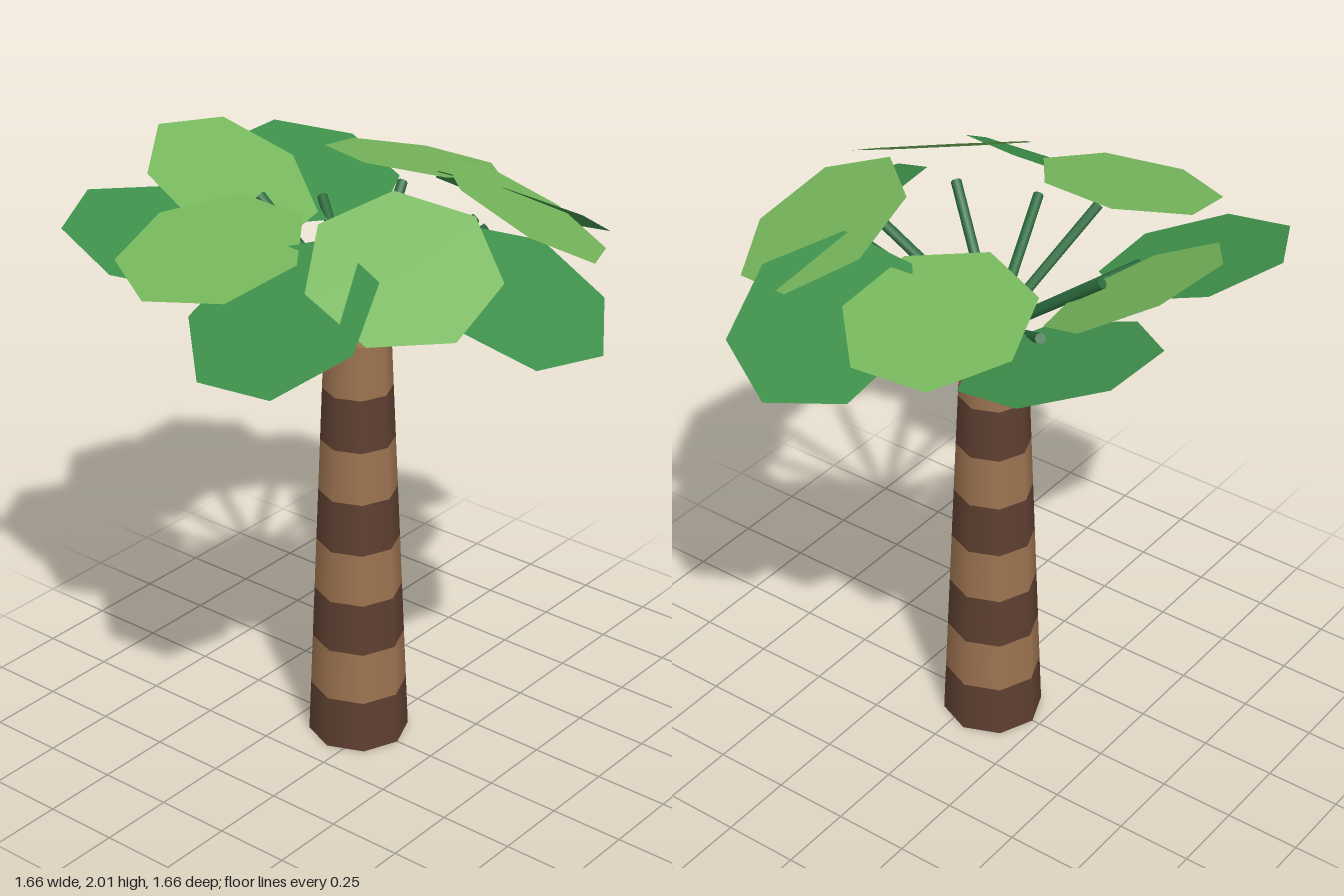
import * as THREE from 'three';

const paint = (name, color) => {
  const m = new THREE.MeshStandardMaterial({ color });
  m.name = name;
  return m;
};

const TRUNK_X = -0.055;
const UP = new THREE.Vector3(0, 1, 0);

export function createModel() {
  const darkBark = paint('darkBark', 0x5e3f30);
  const lightBark = paint('lightBark', 0x9c7350);
  const stemGreen = paint('stemGreen', 0x2a6b3c);
  const deepLeaf = paint('deepLeaf', 0x3e8f4a);
  const brightLeaf = paint('brightLeaf', 0x76b65c);
  deepLeaf.side = brightLeaf.side = THREE.DoubleSide;

  const tree = new THREE.Group();
  tree.name = 'palmTree';

  // Tapered trunk of eight alternating bands
  const trunk = new THREE.Group();
  trunk.name = 'trunk';
  const bands = 8, height = 1.44, step = height / bands;
  const radiusAt = (y) => THREE.MathUtils.lerp(0.166, 0.106, y / height);
  for (let i = 0; i < bands; i++) {
    const inner = i > 0 && i < bands - 1;
    const band = new THREE.Mesh(
      new THREE.CylinderGeometry(radiusAt((i + 1) * step), radiusAt(i * step), step, 8, 1, inner),
      i % 2 ? lightBark : darkBark
    );
    band.name = 'trunkBand';
    band.position.set(TRUNK_X, (i + 0.5) * step, 0);
    trunk.add(band);
  }
  tree.add(trunk);

  // Ten seven-sided leaves: [height, slope in x, slope in z, turn in degrees]
  const leaves = [
    [1.735, -0.52, 0, 39.4],
    [1.865, -0.38, -0.42, 20],
    [1.75, 0.02, -0.6, 8.5],
    [1.84, 0, -0.26, 42],
    [1.755, -0.28, 0.03, 24.3],
    [1.83, -0.56, 0.02, 13.5],
    [1.755, -0.28, -0.03, 0],
    [1.84, 0, 0.26, 34],
    [1.75, 0.02, 0.6, 16.5],
    [1.865, -0.38, 0.42, 2],
  ];
  const crown = new THREE.Group();
  crown.name = 'crown';
  leaves.forEach(([y, slopeX, slopeZ, turn], i) => {
    const a = (i * Math.PI) / 5;
    const deep = i % 2 === 0;
    const reach = deep ? 0.61 : 0.512;

    // Flat leaf, turned and tilted to its slope
    const disc = new THREE.CircleGeometry(deep ? 0.305 : 0.295, 7);
    disc.rotateX(-Math.PI / 2);
    disc.rotateY(-THREE.MathUtils.degToRad(turn));
    const leaf = new THREE.Mesh(disc, deep ? deepLeaf : brightLeaf);
    leaf.name = 'leaf';
    leaf.quaternion.setFromUnitVectors(UP, new THREE.Vector3(-slopeX, 1, -slopeZ).normalize());
    leaf.position.set(TRUNK_X + reach * Math.cos(a), y, reach * Math.sin(a));
    crown.add(leaf);

    // Stem rising from the hub towards the leaf
    const rise = THREE.MathUtils.degToRad(deep ? 28 : 38);
    const dir = new THREE.Vector3(Math.cos(a) * Math.cos(rise), Math.sin(rise), Math.sin(a) * Math.cos(rise));
    const stem = new THREE.Mesh(new THREE.CylinderGeometry(0.017, 0.017, 0.5, 8), stemGreen);
    stem.name = 'leafStem';
    stem.quaternion.setFromUnitVectors(UP, dir);
    stem.position.set(TRUNK_X, 1.495, 0).addScaledVector(dir, 0.25);
    crown.add(stem);
  });
  tree.add(crown);
  return tree;
}
